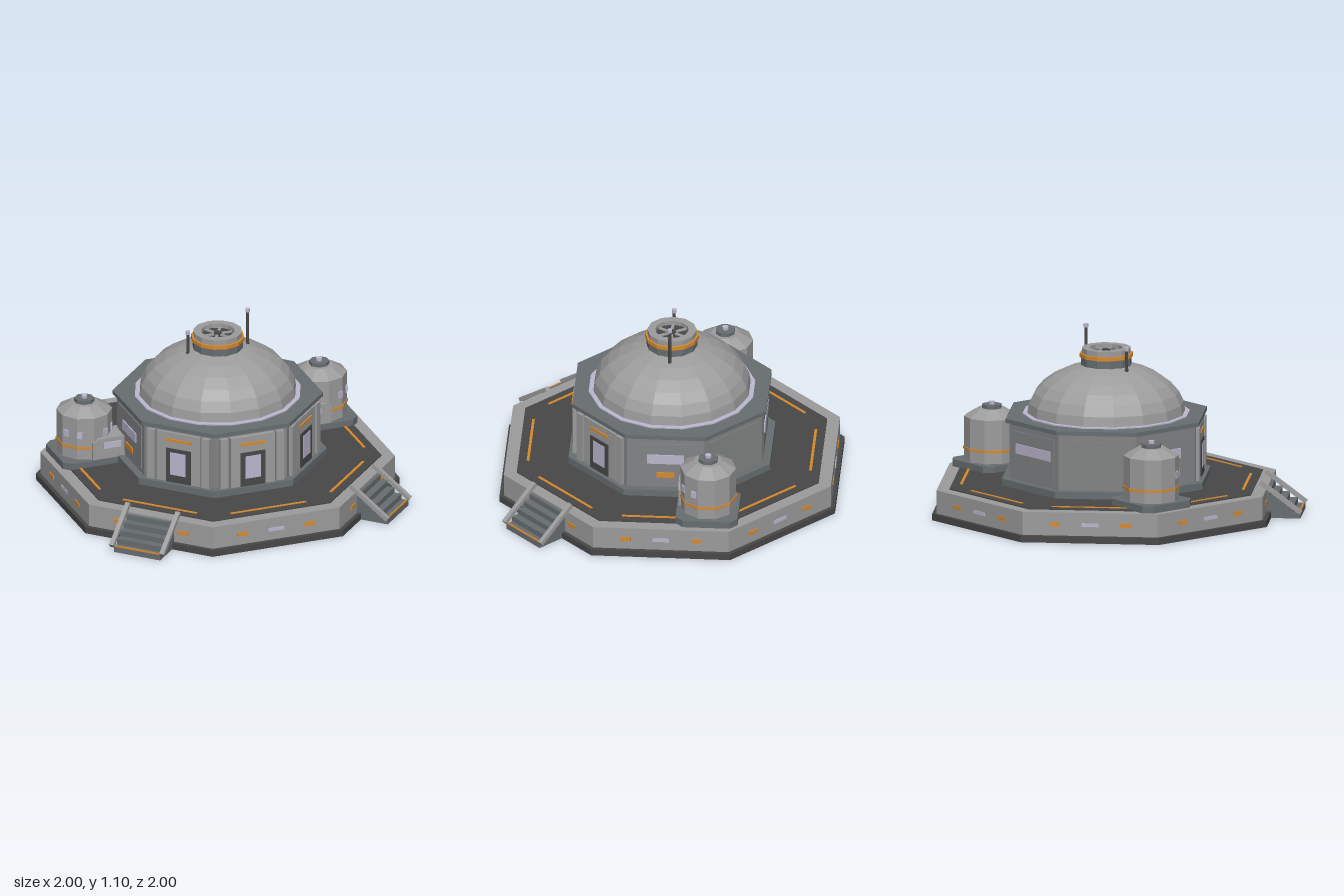
import * as THREE from 'three';

const mat = (name, color) => {
  const m = new THREE.MeshStandardMaterial({ color });
  m.name = name;
  return m;
};

export function createModel() {
  const light = mat('light grey', 0x9c9c9c);
  const mid = mat('mid grey', 0x828485);
  const slate = mat('slate', 0x686e71);
  const dark = mat('dark grey', 0x484848);
  const orange = mat('orange', 0xd88a2e);
  const lavender = mat('pale lavender', 0xbdb8d0);

  const model = new THREE.Group();
  model.name = 'domedOutpost';

  // Faceted mesh: every face gets its own normal
  const add = (parent, name, geometry, material, x = 0, y = 0, z = 0) => {
    const g = geometry.index ? geometry.toNonIndexed() : geometry;
    g.computeVertexNormals();
    const mesh = new THREE.Mesh(g, material);
    mesh.name = name;
    mesh.position.set(x, y, z);
    parent.add(mesh);
    return mesh;
  };
  const box = (parent, name, material, w, h, d, x, y, z) =>
    add(parent, name, new THREE.BoxGeometry(w, h, d), material, x, y, z);
  const drum = (parent, name, material, r0, r1, y0, y1, sides, x = 0, z = 0, turn = 0) =>
    add(parent, name, new THREE.CylinderGeometry(r1, r0, y1 - y0, sides, 1, false, turn),
      material, x, (y0 + y1) / 2, z);
  // Octagonal slab given by the distance from centre to flat side
  const octagon = (name, material, apothem, y0, y1) => {
    const r = apothem / Math.cos(Math.PI / 8);
    return drum(model, name, material, r, r, y0, y1, 8, 0, 0, Math.PI / 8);
  };
  const turned = (parent, name, angle) => {
    const g = new THREE.Group();
    g.name = name;
    g.rotation.y = angle;
    parent.add(g);
    return g;
  };

  // Stacked platform and building
  octagon('foundation', dark, 1, 0, 0.04);
  octagon('platformWall', light, 0.975, 0.04, 0.18);
  octagon('deck', dark, 0.9, 0.18, 0.186);
  octagon('buildingPlinth', slate, 0.6, 0.18, 0.227);
  octagon('buildingWall', mid, 0.555, 0.227, 0.565);
  octagon('roofSlab', slate, 0.578, 0.565, 0.59);

  for (let k = 0; k < 8; k++) {
    const side = turned(model, 'side' + k, k * Math.PI / 4);
    // Platform lights and deck stripe
    box(side, 'deckStripe', orange, 0.48, 0.006, 0.016, 0, 0.187, 0.842);
    box(side, 'platformLight', lavender, 0.1, 0.022, 0.008, 0, 0.107, 0.976);
    for (const s of [-1, 1])
      box(side, 'platformMarker', orange, 0.066, 0.024, 0.008, s * 0.212, 0.107, 0.976);

    if (k === 0 || k === 1 || k === 7) {
      // Door bays
      const front = k === 0 ? 0.585 : 0.572;
      box(side, 'doorPanel', light, 0.28, 0.32, front - 0.54, 0, 0.387, (front + 0.54) / 2);
      box(side, 'doorFrame', dark, 0.16, 0.218, 0.008, 0, 0.337, front + 0.002);
      box(side, 'doorWindow', lavender, 0.1, 0.145, 0.008, 0, 0.35, front + 0.005);
      box(side, 'doorLamp', orange, 0.16, 0.016, 0.009, 0, 0.5, front + 0.003);
      for (const s of [-1, 1])
        box(side, 'pilaster', light, 0.05, 0.32, 0.04, s * 0.178, 0.387, 0.558);
    } else {
      box(side, 'wallPanel', mid, 0.38, 0.27, 0.02, 0, 0.39, 0.55);
      if (k === 4) box(side, 'backWindow', lavender, 0.32, 0.06, 0.008, 0, 0.42, 0.563);
      if (k === 2 || k === 6) {
        box(side, 'sideWindow', lavender, 0.22, 0.06, 0.008, 0, 0.42, 0.563);
        box(side, 'sideMarker', orange, 0.105, 0.034, 0.008, 0, 0.313, 0.563);
      }
    }
  }

  // Dome with its base ring
  const ring = (name, material, pts, sides, turn = 0) =>
    add(model, name, new THREE.LatheGeometry(
      pts.map(p => new THREE.Vector2(...p)), sides, turn), material);
  ring('domeRing', lavender, [[0.5, 0.588], [0.5, 0.597], [0.46, 0.597]], 16, Math.PI / 16);
  const arc = [];
  for (let i = 0; i <= 6; i++) {
    const a = i / 6 * 1.25;
    arc.push([0.473 * Math.cos(a), 0.59 + 0.31 * Math.sin(a)]);
  }
  ring('dome', light, arc, 16, Math.PI / 16);

  // Roof vent
  drum(model, 'ventNeck', slate, 0.152, 0.152, 0.84, 0.935, 12);
  drum(model, 'ventBand', orange, 0.16, 0.16, 0.932, 0.955, 12);
  ring('ventRim', light, [[0.147, 0.95], [0.147, 0.987], [0.1, 0.987], [0.1, 0.95]], 12);
  drum(model, 'ventWell', dark, 0.102, 0.102, 0.95, 0.96, 12);
  drum(model, 'fanHub', dark, 0.024, 0.024, 0.955, 0.976, 8);
  for (let i = 0; i < 6; i++) {
    const blade = turned(model, 'fanBlade', i * Math.PI / 3 + Math.PI / 6);
    box(blade, 'blade', light, 0.018, 0.008, 0.068, 0, 0.966, 0.058);
  }

  for (const s of [-1, 1]) {
    // Antennas of unequal height
    const top = s > 0 ? 1.1 : 1.015;
    drum(model, 'antennaMast', dark, 0.011, 0.009, 0.84, top - 0.02, 8, s * 0.19);
    drum(model, 'antennaTip', lavender, 0.014, 0.014, top - 0.022, top, 8, s * 0.19);

    // Tank on a chamfered pad
    const tx = s * 0.748, tz = -0.267;
    const w = 0.19, h = 0.185, c = 0.045;
    const padShape = new THREE.Shape([[w, c - h], [w, h - c], [w - c, h], [c - w, h],
      [-w, h - c], [-w, c - h], [c - w, -h], [w - c, -h]].map(p => new THREE.Vector2(...p)));
    const pad = new THREE.ExtrudeGeometry(padShape, { depth: 0.045, bevelEnabled: false });
    pad.rotateX(-Math.PI / 2);
    add(model, 'tankPad', pad, slate, tx, 0.178, tz);
    drum(model, 'tankBody', light, 0.166, 0.166, 0.22, 0.487, 10, tx, tz);
    drum(model, 'tankShoulder', light, 0.166, 0.085, 0.487, 0.535, 10, tx, tz);
    drum(model, 'tankBand', orange, 0.171, 0.171, 0.29, 0.305, 10, tx, tz);
    drum(model, 'tankCap', slate, 0.06, 0.06, 0.53, 0.557, 8, tx, tz, Math.PI / 8);
    drum(model, 'tankNub', lavender, 0.019, 0.019, 0.557, 0.575, 8, tx, tz);
    for (const deg of [-62, -30, 30, 62]) {
      const port = turned(model, 'tankPort', deg * Math.PI / 180);
      port.position.set(tx, 0, tz);
      box(port, 'portWindow', lavender, 0.035, 0.042, 0.009, 0, 0.38, 0.163);
    }

    // Connector between tank and building
    const outline = new THREE.Shape([[0.54, 0.22], [0.76, 0.22], [0.76, 0.33], [0.72, 0.352],
      [0.54, 0.352]].map(([x, y]) => new THREE.Vector2(s * x, y)));
    add(model, 'connector', new THREE.ExtrudeGeometry(outline,
      { depth: 0.16, bevelEnabled: false }), light, 0, 0, -0.25);
    box(model, 'connectorWindow', lavender, 0.11, 0.04, 0.008, s * 0.637, 0.308, -0.089);

    // Stairs on the front diagonals
    const stairs = turned(model, 'stairs', s * Math.PI / 4);
    for (let i = 0; i < 5; i++) {
      const y = 0.034 * (i + 1);
      box(stairs, 'step', slate, 0.3, y, 0.05, 0, y / 2, 1.15 - i * 0.045);
    }
    box(stairs, 'stepStripe', orange, 0.28, 0.008, 0.008, 0, 0.038, 1.17);
    for (const r of [-1, 1]) {
      const rail = box(stairs, 'stairRail', light, 0.028, 0.025, 0.3, r * 0.163, 0.128, 1.06);
      rail.rotation.x = 0.64;
    }
  }
  return model;
}
